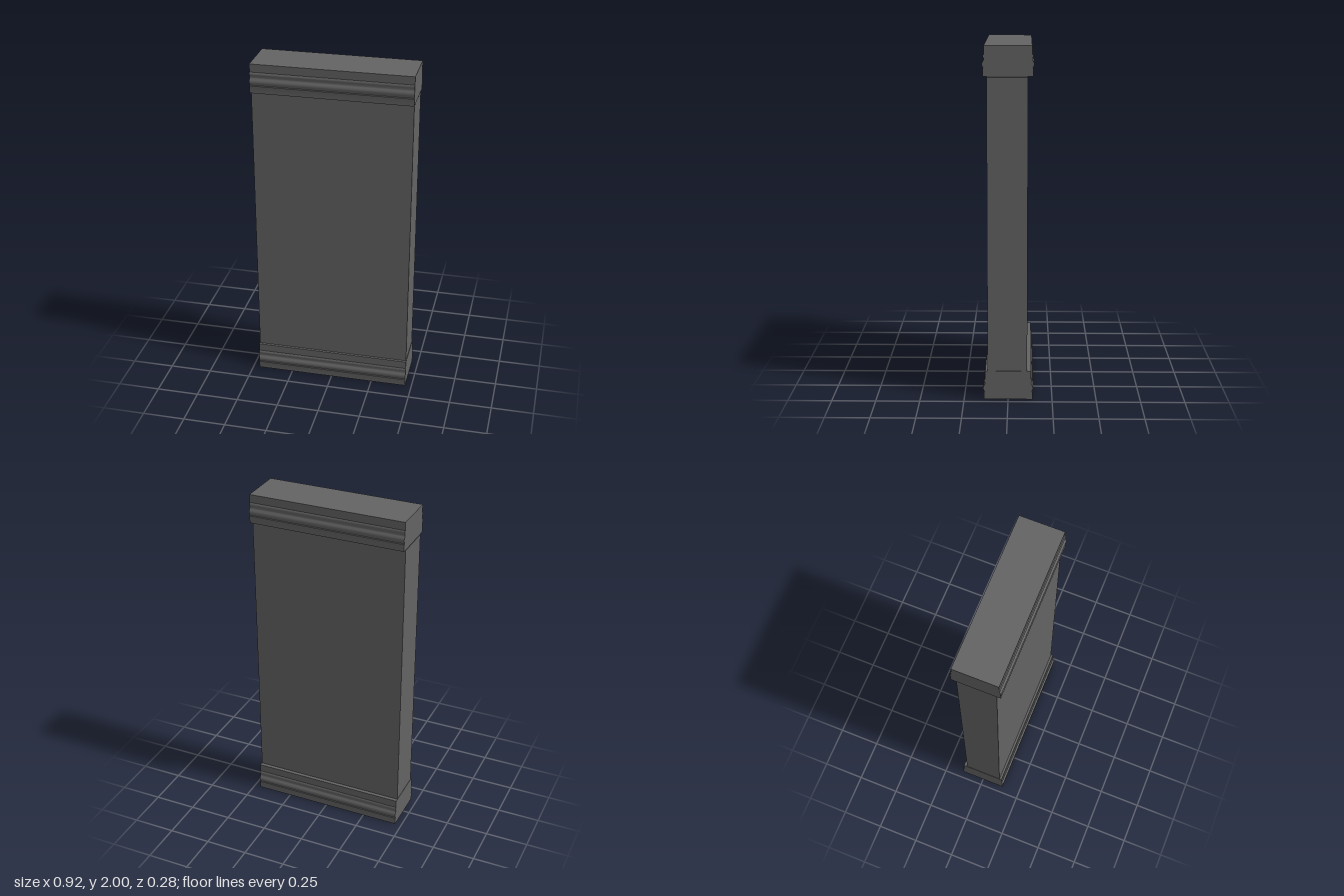
import * as THREE from 'three';
import { toCreasedNormals } from 'three/addons/utils/BufferGeometryUtils.js';

const WIDTH = 0.922;
const MOULDING_HEIGHT = 0.167;

// Half profile of the moulding as [depth, height], from the foot upwards
const PROFILE = [
  [0.138, 0], [0.138, 0.042], [0.134, 0.045], [0.136, 0.051], [0.141, 0.06],
  [0.142, 0.068], [0.139, 0.077], [0.134, 0.084], [0.131, 0.091], [0.132, 0.098],
  [0.135, 0.105], [0.136, 0.111], [0.135, 0.116], [0.13, 0.12], [0.13, MOULDING_HEIGHT],
];

// Moulding: the mirrored profile extruded across the full width
function mouldingGeometry() {
  const front = PROFILE.map(([z, y]) => new THREE.Vector2(z, y));
  const back = PROFILE.map(([z, y]) => new THREE.Vector2(-z, y)).reverse();
  const geometry = new THREE.ExtrudeGeometry(new THREE.Shape([...front, ...back]), {
    depth: WIDTH, bevelEnabled: false,
  });
  geometry.translate(0, 0, -WIDTH / 2);
  geometry.rotateY(-Math.PI / 2);
  return toCreasedNormals(geometry, 0.7);
}

export function createModel() {
  const model = new THREE.Group();
  model.name = 'pillar';
  const material = new THREE.MeshStandardMaterial({ color: 0x636363 });

  function add(name, geometry, y, z = 0) {
    const mesh = new THREE.Mesh(geometry, material);
    mesh.name = name;
    mesh.position.set(0, y, z);
    model.add(mesh);
  }

  // Matching mouldings at the foot and the head
  const moulding = mouldingGeometry();
  add('baseMoulding', moulding, 0);
  add('capMoulding', moulding, 2 - MOULDING_HEIGHT);

  // Plain shaft, ending just short of the cap
  const bottom = 0.16, top = 1.827;
  add('shaft', new THREE.BoxGeometry(0.918, top - bottom, 0.224), (bottom + top) / 2, 0.004);

  return model;
}
